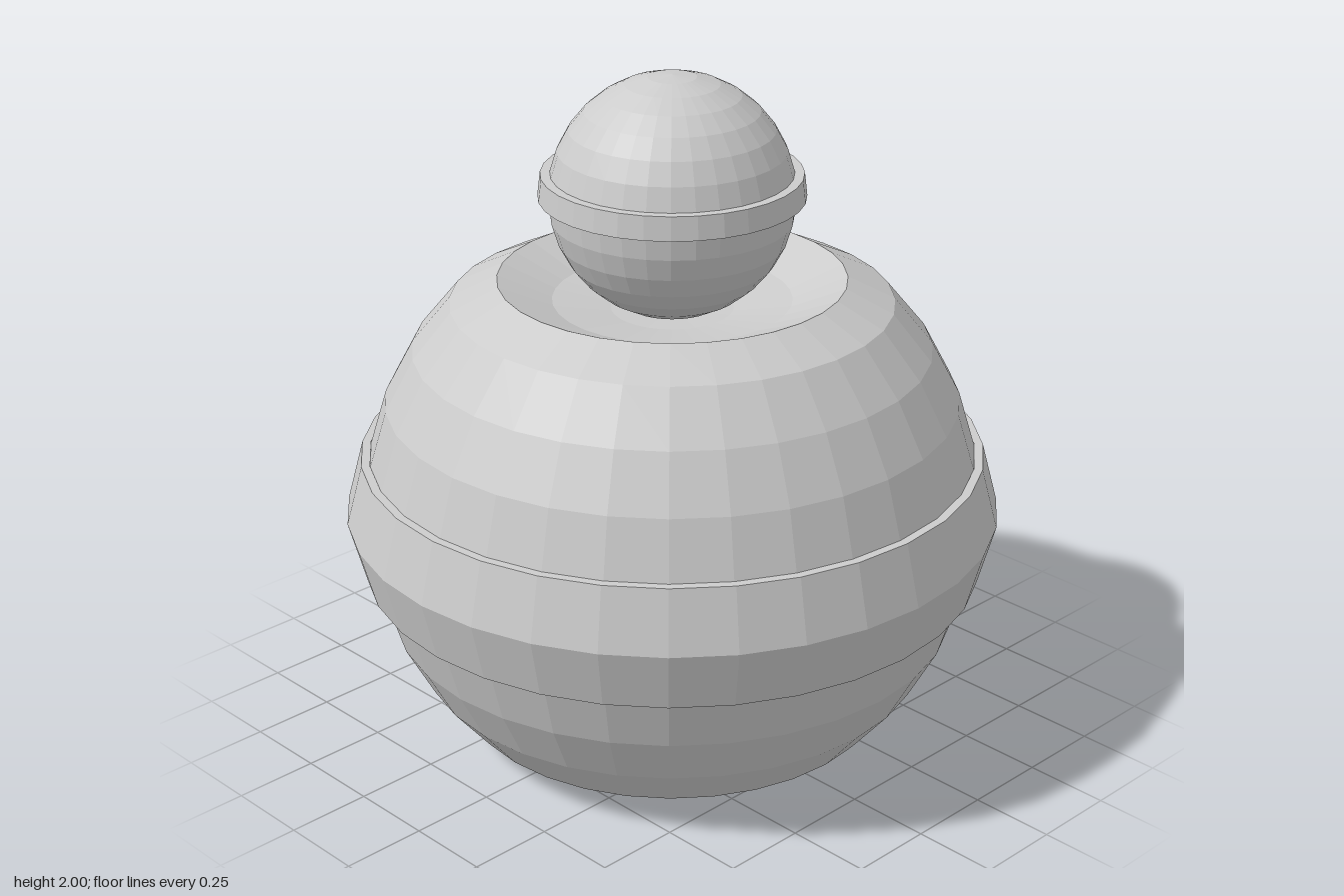
import * as THREE from 'three';

const SIDES = 32;
const STEP = Math.PI / 16; // latitude spacing shared by all rounded parts
const BODY_R = 0.9, BODY_Y = 0.703;
const HEAD_R = 0.35, HEAD_Y = 1.65;

const material = new THREE.MeshStandardMaterial({
  color: 0xcccccc, flatShading: true, side: THREE.DoubleSide,
});

// Faceted solid of revolution from [radius, height] points, bottom to top
function turned(name, profile, y) {
  const points = profile.map(([r, h]) => new THREE.Vector2(r, h));
  const mesh = new THREE.Mesh(new THREE.LatheGeometry(points, SIDES), material);
  mesh.name = name;
  mesh.position.y = y;
  return mesh;
}

// Points on a circle of latitude rows from..to
function arc(radius, from, to) {
  const points = [];
  for (let i = from; i <= to; i++) {
    points.push([radius * Math.cos(i * STEP), radius * Math.sin(i * STEP)]);
  }
  return points;
}

export function createModel() {
  const group = new THREE.Group();
  group.name = 'roundFigure';

  // Round body with a shallow dish pressed into each pole
  const dish = [[0.5, 0.703], [0.344, 0.637], [0.176, 0.61], [0, 0.603]];
  const lowerDish = dish.map(([r, h]) => [r, -h]).reverse();
  group.add(turned('body', [...lowerDish, ...arc(BODY_R, -4, 4), ...dish], BODY_Y));

  // Raised belt around the middle of the body
  const edge = BODY_R * Math.cos(STEP);
  const beltH = 0.18;
  group.add(turned('belt', [
    [edge, -beltH], [0.908, -beltH], [0.956, 0], [0.908, beltH], [edge, beltH],
  ], BODY_Y));

  // Spherical head resting in the upper dish
  const head = new THREE.Mesh(new THREE.SphereGeometry(HEAD_R, SIDES, 16), material);
  head.name = 'head';
  head.position.y = HEAD_Y;
  group.add(head);

  // Narrow band on the upper half of the head's equator
  group.add(turned('headBand', [
    [HEAD_R, 0], [0.379, 0], [0.371, 0.068], [HEAD_R * Math.cos(STEP), 0.068],
  ], HEAD_Y));

  return group;
}
